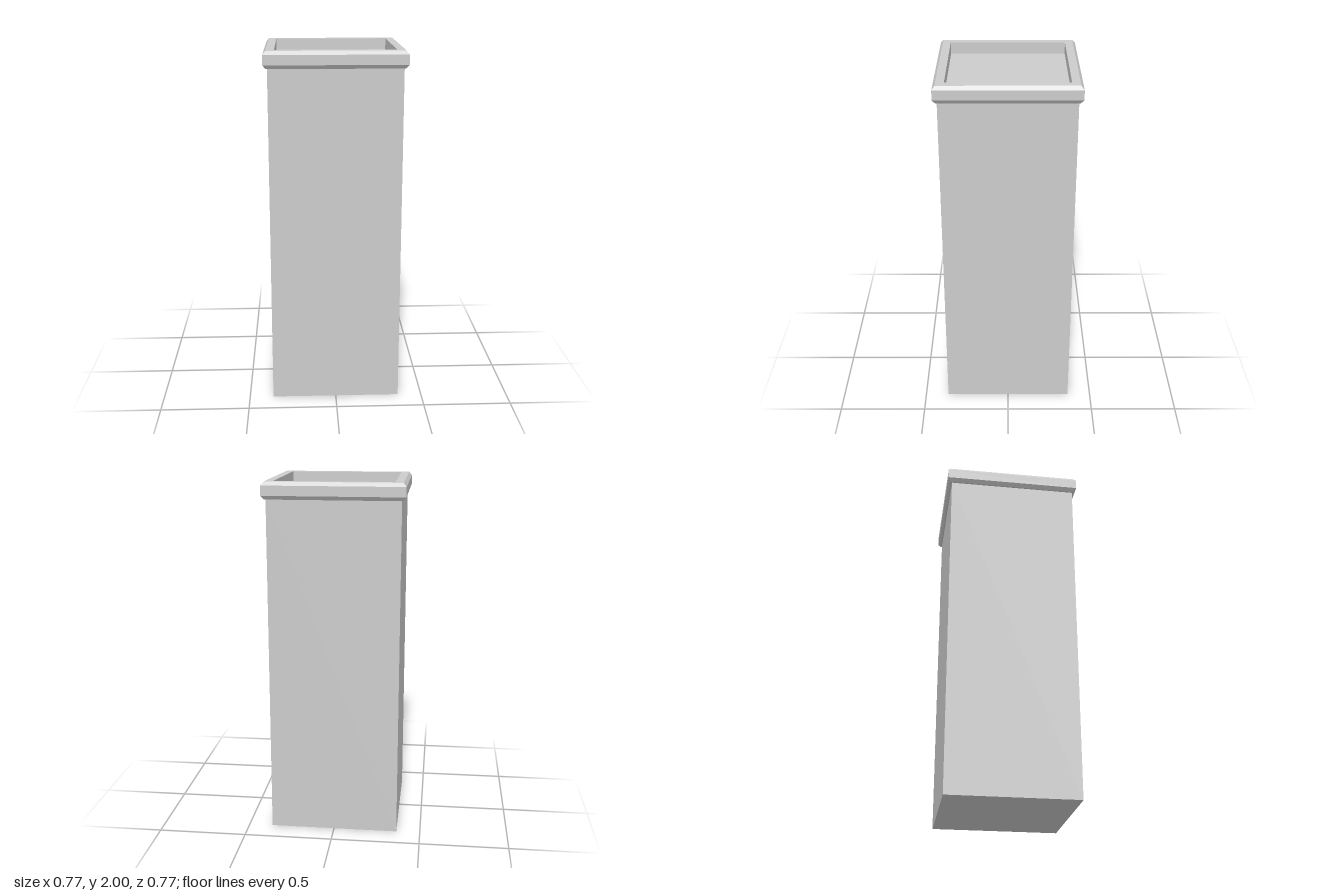
import * as THREE from 'three';

const material = new THREE.MeshStandardMaterial({ color: 0xcccccc, flatShading: true });

// Square ring solid: profile of [half width, height] points swept around four sides
function squareSweep(name, profile) {
  const points = profile.map(([half, y]) => new THREE.Vector2(half * Math.SQRT2, y));
  const geometry = new THREE.LatheGeometry(points, 4, Math.PI / 4);
  const mesh = new THREE.Mesh(geometry, material);
  mesh.name = name;
  return mesh;
}

export function createModel() {
  const group = new THREE.Group();
  group.name = 'squarePlanter';

  const bodyHalf = 0.364, innerHalf = 0.326;
  const rimBottom = 1.905, soilHeight = 1.935;

  // Tall body with closed bottom
  group.add(squareSweep('body', [[0, 0], [bodyHalf, 0], [bodyHalf, rimBottom]]));

  // Chamfered rim, running over the lip and down the inner wall
  group.add(squareSweep('rim', [
    [bodyHalf, rimBottom],
    [0.371, rimBottom],
    [0.387, 1.926],
    [0.387, 1.98],
    [0.371, 2],
    [innerHalf, 2],
    [innerHalf, soilHeight],
  ]));

  // Recessed flat surface inside the rim
  const soil = new THREE.Mesh(new THREE.PlaneGeometry(innerHalf * 2, innerHalf * 2), material);
  soil.name = 'soilSurface';
  soil.rotation.x = -Math.PI / 2;
  soil.position.y = soilHeight;
  group.add(soil);

  return group;
}
